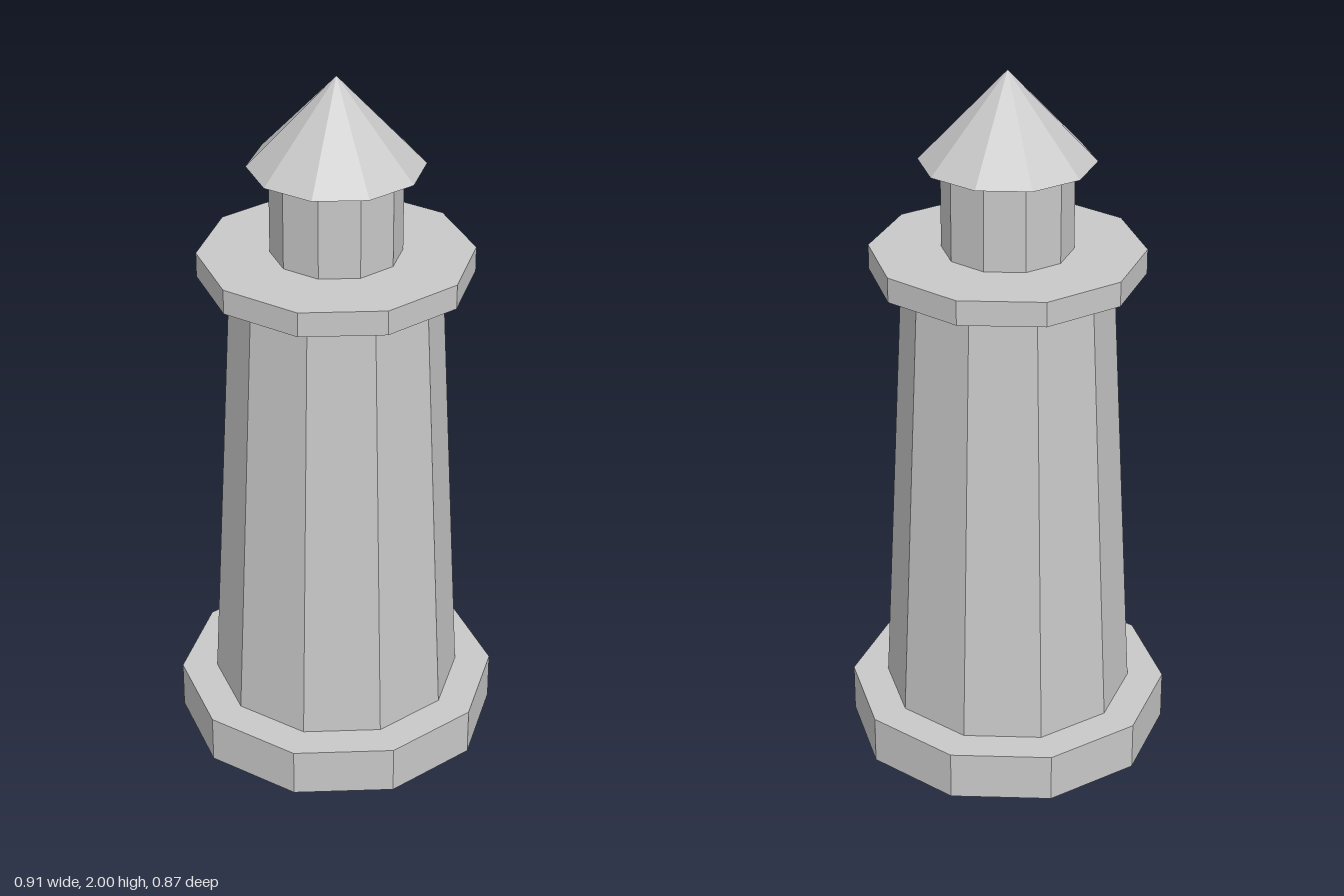
import * as THREE from 'three';

const SIDES = 10;

export function createModel() {
  const group = new THREE.Group();
  const stone = new THREE.MeshStandardMaterial({ color: 0xc8c8c8, flatShading: true });
  stone.name = 'light grey stone';

  // Ten-sided section from y0 to y1, with corners on the x axis
  function addSection(name, bottomRadius, topRadius, y0, y1) {
    const geometry = topRadius === 0
      ? new THREE.ConeGeometry(bottomRadius, y1 - y0, SIDES, 1, false, Math.PI / 2)
      : new THREE.CylinderGeometry(topRadius, bottomRadius, y1 - y0, SIDES, 1, false, Math.PI / 2);
    const mesh = new THREE.Mesh(geometry, stone);
    mesh.name = name;
    mesh.position.y = (y0 + y1) / 2;
    group.add(mesh);
  }

  addSection('base', 0.457, 0.457, 0, 0.14);
  addSection('tower', 0.355, 0.29, 0.14, 1.43);
  addSection('gallery', 0.378, 0.378, 1.43, 1.5);
  addSection('lanternRoom', 0.18, 0.18, 1.5, 1.75);
  addSection('roof', 0.24, 0, 1.75, 2);

  group.name = 'lighthouse';
  return group;
}
